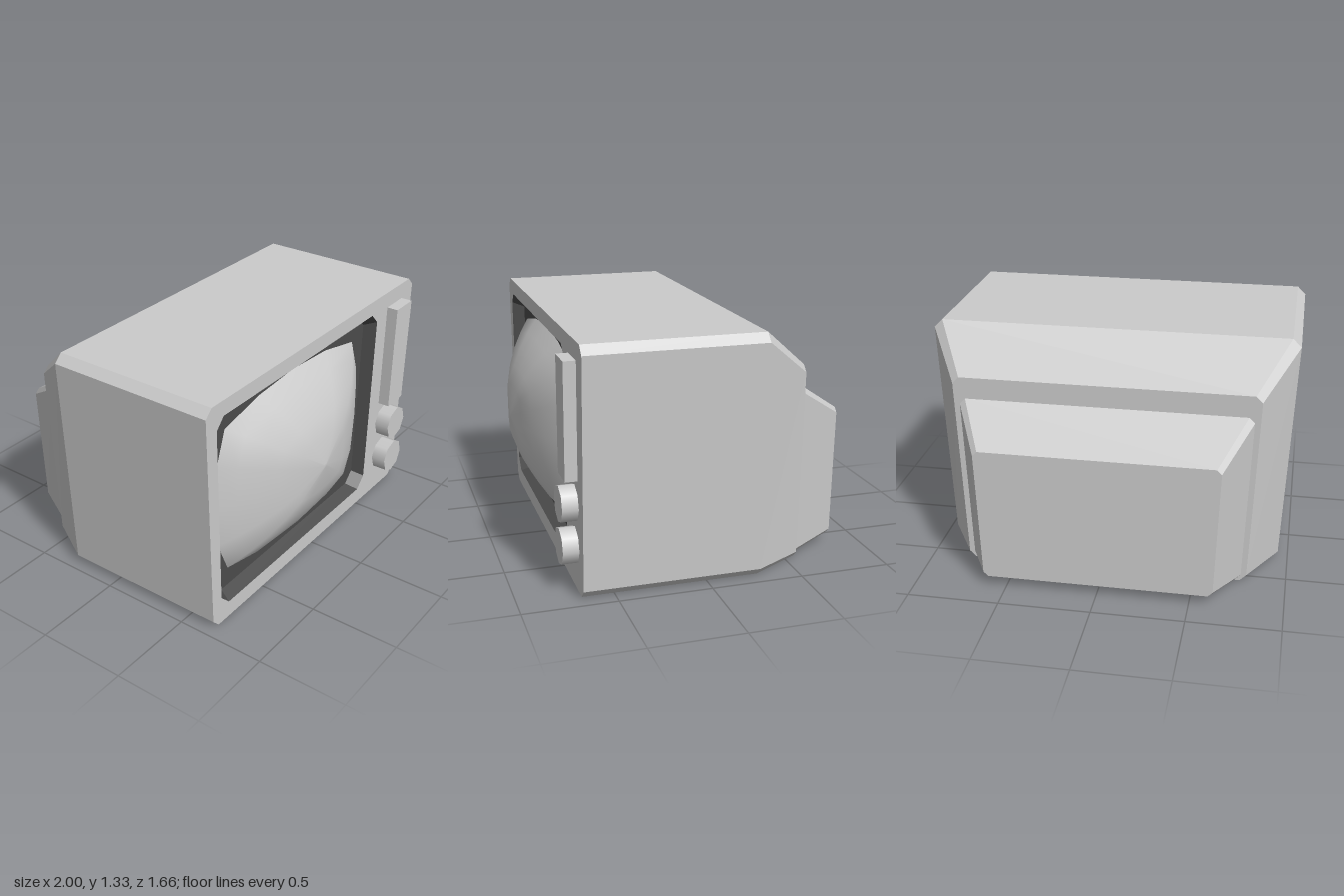
import * as THREE from 'three';

const grey = new THREE.MeshStandardMaterial({ color: 0xcccccc });
const dark = new THREE.MeshStandardMaterial({ color: 0x4c4c4c });

// Skin a list of rings (each counter-clockwise from the front) and cap the last one.
function loft(rings, { flip = false, smooth = false } = {}) {
  const n = rings[0].length;
  const index = [];
  const tri = (a, b, c) => (flip ? index.push(a, c, b) : index.push(a, b, c));
  for (let r = 0; r < rings.length - 1; r++) {
    for (let i = 0; i < n; i++) {
      const j = (i + 1) % n;
      const a = r * n + i, b = r * n + j, c = b + n, d = a + n;
      tri(a, d, c);
      tri(a, c, b);
    }
  }
  const last = (rings.length - 1) * n;
  for (let i = 1; i < n - 1; i++) tri(last, last + i + 1, last + i);

  let geometry = new THREE.BufferGeometry();
  geometry.setAttribute('position', new THREE.Float32BufferAttribute(rings.flat(2), 3));
  geometry.setIndex(index);
  if (!smooth) geometry = geometry.toNonIndexed();
  geometry.computeVertexNormals();
  return geometry;
}

// Chamfered trapezoid cross-section, narrower at the bottom.
function section(z, halfTop, halfBottom, bottom, top, c) {
  const right = [
    [halfBottom - c, bottom], [halfBottom, bottom + c],
    [halfTop, top - c], [halfTop - c, top],
  ];
  const left = right.map(([x, y]) => [-x, y]).reverse();
  return [...right, ...left].map(([x, y]) => [x, y, z]);
}

const toShape = (points) => new THREE.Shape(points.map(([x, y]) => new THREE.Vector2(x, y)));

export function createModel() {
  const model = new THREE.Group();
  const add = (name, geometry, material = grey) => {
    const mesh = new THREE.Mesh(geometry, material);
    mesh.name = name;
    model.add(mesh);
    return mesh;
  };

  // Cabinet with tapered back and stepped rear housing
  const frontZ = 0.67;
  const rim = section(frontZ, 1, 0.945, 0, 1.325, 0.046);
  add('cabinet', loft([
    rim,
    section(-0.285, 1, 0.945, 0, 1.325, 0.046),
    section(-0.56, 0.825, 0.785, 0.005, 1.1, 0.035),
    section(-0.56, 0.79, 0.755, 0.01, 0.98, 0.03),
    section(-0.83, 0.65, 0.625, 0.055, 0.8, 0.025),
  ]));

  // Front face with the screen opening cut out
  const opening = [
    [0.51, 0.095], [0.575, 0.16], [0.6, 1.18], [0.54, 1.24],
    [-0.86, 1.24], [-0.915, 1.18], [-0.875, 0.16], [-0.81, 0.095],
  ];
  const face = toShape(rim);
  face.holes.push(toShape(opening));
  add('frontFace', new THREE.ShapeGeometry(face).translate(0, 0, frontZ));

  // Dark recess around the screen
  const cx = -0.16, cy = 0.67;
  add('screenRecess', loft([
    opening.map(([x, y]) => [x, y, frontZ]),
    opening.map(([x, y]) => [cx + (x - cx) * 0.96, cy + (y - cy) * 0.95, 0.6]),
  ], { flip: true }), dark);

  // Bulging screen: its outline shrunk ring by ring along a parabola
  const outline = [
    [0.515, 0.67], [0.508, 0.91], [0.44, 1.1], [0.15, 1.16],
    [-0.16, 1.18], [-0.47, 1.16], [-0.765, 1.1], [-0.83, 0.91],
    [-0.835, 0.67], [-0.82, 0.43], [-0.735, 0.24], [-0.46, 0.18],
    [-0.16, 0.16], [0.15, 0.18], [0.405, 0.24], [0.495, 0.43],
  ];
  add('screen', loft([1, 0.85, 0.7, 0.52, 0.33, 0.02].map((s) =>
    outline.map(([x, y]) => [cx + (x - cx) * s, cy + (y - cy) * s, 0.83 - 0.225 * s * s])
  ), { flip: true, smooth: true }));

  // Raised control panel
  const panel = toShape([[0.7, 0.61], [0.86, 0.61], [0.88, 1.23], [0.712, 1.23]]);
  add('controlPanel', new THREE.ExtrudeGeometry(panel, { depth: 0.075, bevelEnabled: false }))
    .position.z = 0.66;

  // Two octagonal knobs
  [['upperKnob', 0.777, 0.47], ['lowerKnob', 0.77, 0.238]].forEach(([name, x, y]) => {
    const knob = add(name, new THREE.CylinderGeometry(0.1, 0.1, 0.095, 8).rotateX(Math.PI / 2));
    knob.position.set(x, y, 0.7075);
    knob.rotation.z = -0.07;
  });

  return model;
}
